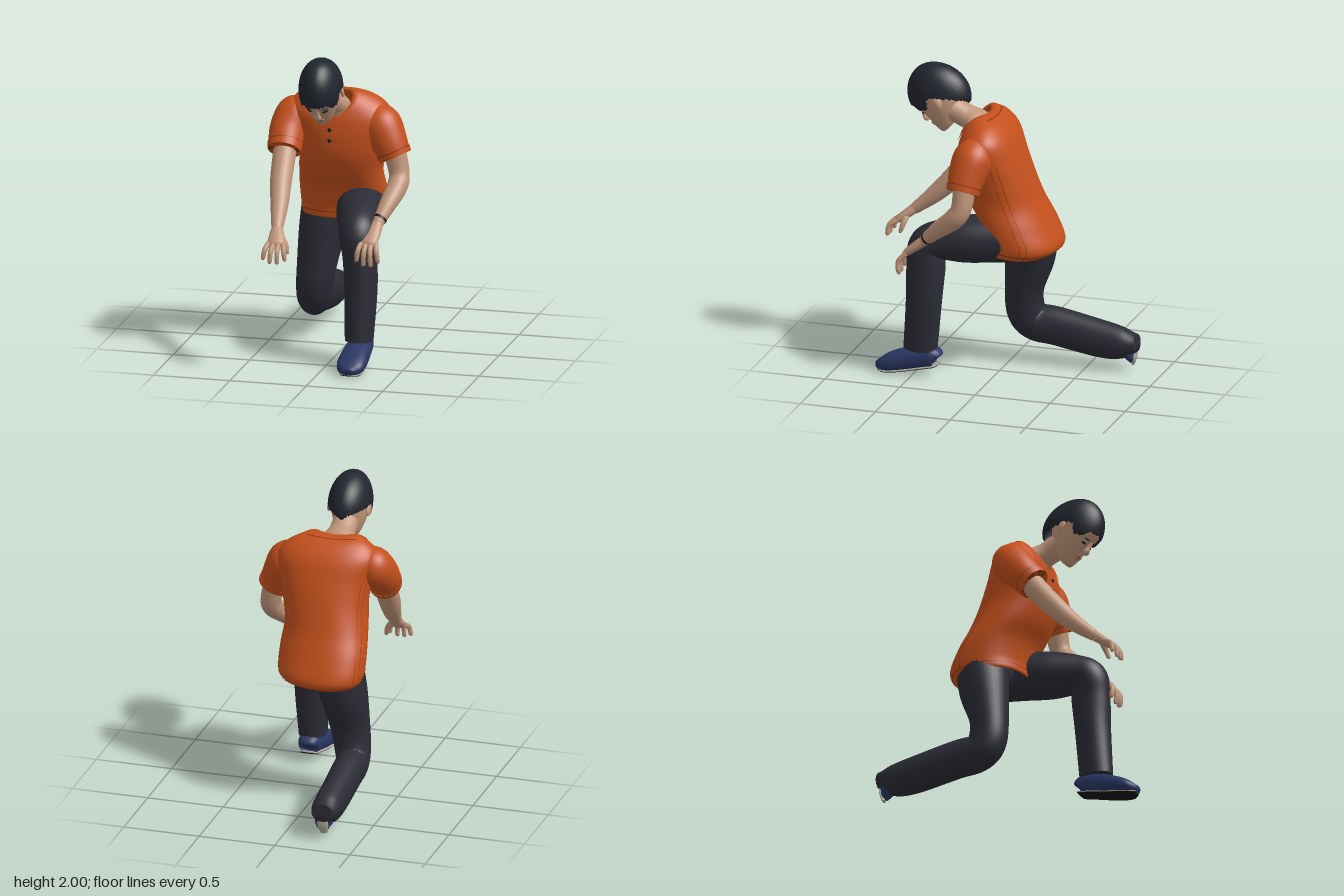
import * as THREE from 'three';
import { mergeVertices, toCreasedNormals } from 'three/addons/utils/BufferGeometryUtils.js';

const mat = (name, color, side = THREE.FrontSide) => {
  const m = new THREE.MeshStandardMaterial({ color, side });
  m.name = name;
  return m;
};
const M = {
  shirt: mat('orange shirt', 0xc4501c, THREE.DoubleSide),
  seam: mat('dark orange seam', 0x8a3812, THREE.DoubleSide),
  trousers: mat('charcoal trousers', 0x2b2c35, THREE.DoubleSide),
  hair: mat('blue black hair', 0x22252f, THREE.DoubleSide),
  skin: mat('skin', 0xc0967a),
  lips: mat('lips', 0x98664f),
  shoe: mat('navy shoe', 0x2a3764),
  trim: mat('pale trim', 0xaaa69c),
  black: mat('black', 0x17171b),
};

// Smooth interpolation along a list of number rows, t from 0 to 1
function along(rows, t) {
  const n = rows.length - 1, s = Math.min(Math.max(t, 0), 1) * n;
  const i = Math.min(Math.floor(s), n - 1), f = s - i;
  const at = (k) => rows[Math.min(Math.max(k, 0), n)];
  return rows[i].map((_, k) => {
    const [a, b, c, d] = [at(i - 1)[k], at(i)[k], at(i + 1)[k], at(i + 2)[k]];
    return b + 0.5 * f * (c - a + f * (2 * a - 5 * b + 4 * c - d + f * (3 * (b - c) + d - a)));
  });
}

// Grid surface from fn(u, v, row)
function surface(fn, nu, nv) {
  const pos = [], idx = [];
  for (let j = 0; j <= nv; j++)
    for (let i = 0; i <= nu; i++) pos.push(...fn(i / nu, j / nv, j));
  for (let j = 0; j < nv; j++)
    for (let i = 0; i < nu; i++) {
      const a = j * (nu + 1) + i, b = a + nu + 1;
      idx.push(a, a + 1, b + 1, a, b + 1, b);
    }
  const g = new THREE.BufferGeometry();
  g.setAttribute('position', new THREE.Float32BufferAttribute(pos, 3));
  g.setIndex(idx);
  return toCreasedNormals(mergeVertices(g, 1e-5), 1.1);
}

function add(parent, name, geometry, material, p = [0, 0, 0], s = [1, 1, 1], r = [0, 0, 0]) {
  const m = new THREE.Mesh(geometry, material);
  m.name = name;
  m.position.set(...p); m.scale.set(...s); m.rotation.set(...r);
  parent.add(m);
}
const ball = new THREE.SphereGeometry(1, 24, 16);

// Capped tube through rows of [x, y, z, sideRadius, otherRadius]
function limb(rows, nu = 24, nv = 32, p = 1, t0 = 0, grow = 0) {
  const pts = rows.map((r) => [r[0], r[1], r[2], r[3], r[4] ?? r[3]]);
  const V = (a) => new THREE.Vector3(a[0], a[1], a[2]);
  const pw = (x) => Math.sign(x) * Math.abs(x) ** p;
  return surface((u, v, j) => {
    const t = t0 + (1 - t0) * Math.min(Math.max((j - 1) / (nv - 2), 0), 1);
    const c = along(pts, t), a = u === 1 ? 0 : u * Math.PI * 2;
    const T = V(along(pts, t + 0.01)).sub(V(along(pts, t - 0.01))).normalize();
    const S = new THREE.Vector3(1, 0, 0).addScaledVector(T, -T.x).normalize();
    const N = T.clone().cross(S), k = j === 0 || j === nv ? 0 : 1;
    return V(c).addScaledVector(S, pw(Math.cos(a)) * (c[3] + grow) * k)
      .addScaledVector(N, pw(Math.sin(a)) * (c[4] + grow) * k).toArray();
  }, nu, nv);
}

// Body surface from rows of [x, halfWidth, frontY, frontZ, backY, backZ, sideLift, twist]; e offsets outwards
const body = (rows, p = 1, e = 0) => (u, v) => {
  const [x, w, yf, zf, yb, zb, lift, twist] = along(rows, v);
  const a = u === 1 ? 0 : u * Math.PI * 2, pw = (q) => Math.sign(q) * Math.abs(q) ** p;
  const c = pw(Math.cos(a)), s = pw(Math.sin(a));
  return [x + s * (w + e), (yf + yb) / 2 + c * (yf - yb) / 2 + lift * s * s,
    (zf + zb) / 2 + c * ((zf - zb) / 2 + e) + twist * s];
};
const patch = (fn, u0, u1, v0, v1, nu = 6, nv = 20) =>
  surface((u, v) => fn(u0 + (u1 - u0) * u, v0 + (v1 - v0) * v), nu, nv);

// Shirt rows run from hem to neck opening
const TORSO = [
  [-.04, .22, .88, .04, .83, -.28, 0, .02], [-.045, .265, .85, .085, .80, -.32, 0, .03],
  [-.045, .285, .93, .085, .86, -.385, 0, .03], [-.045, .285, 1.06, .12, 1.0, -.33, 0, .03],
  [-.04, .27, 1.18, .2, 1.15, -.26, 0, .02], [-.02, .275, 1.3, .25, 1.3, -.21, 0, .01],
  [-.01, .3, 1.42, .26, 1.46, -.155, 0, 0], [-.02, .325, 1.5, .255, 1.59, -.1, .02, -.01],
  [-.035, .275, 1.545, .25, 1.68, -.02, .025, -.01], [-.055, .165, 1.56, .245, 1.71, .07, .05, 0],
  [-.055, .135, 1.55, .235, 1.70, .09, .045, 0],
];

function buildShirt(g) {
  add(g, 'shirtBody', surface(body(TORSO, .88), 56, 60), M.shirt);
  // folded collar, longest at its two front points
  const flap = body(TORSO, .88, .009);
  for (const [u0, u1] of [[.03, .5], [.5, .97]])
    add(g, 'collar', surface((u, v) => {
      const q = u0 + (u1 - u0) * u, d = Math.min(q, 1 - q);
      const low = .875 - .11 * Math.max(0, 1 - Math.abs(d - .06) / .08);
      return flap(q, low + (1 - low) * v);
    }, 28, 8), M.shirt);
  // placket, buttons and seams
  add(g, 'placket', patch(body(TORSO, .88, .004), -.004, .004, .58, .82), M.shirt);
  for (const y of [1.48, 1.41])
    add(g, 'button', ball, M.black, [-.04, y, .267], [.013, .013, .005]);
  for (const u of [.3, .33, .67, .7])
    add(g, 'sideSeam', patch(body(TORSO, .88, .003), u, u + .003, .12, .6, 1), M.seam);
  add(g, 'hemSeam', patch(body(TORSO, .88, .003), 0, 1, .155, .163, 56, 1), M.seam);
  add(g, 'yokeSeam', patch(body(TORSO, .88, .003), .38, .62, .845, .853, 20, 1), M.seam);
  // sleeves with turned cuffs
  const sleeves = {
    right: [[-.25, 1.57, .05, .075], [-.295, 1.53, .09, .125], [-.335, 1.44, .17, .118], [-.335, 1.33, .272, .1]],
    left: [[.19, 1.57, .06, .085], [.25, 1.5, .09, .127], [.305, 1.4, .115, .12], [.358, 1.295, .13, .1]],
  };
  for (const [side, rows] of Object.entries(sleeves)) {
    add(g, side + 'Sleeve', limb(rows, 32, 30), M.shirt);
    add(g, side + 'Cuff', limb(rows, 32, 8, 1, .88, .006), M.shirt);
    add(g, side + 'CuffSeam', limb(rows, 32, 30, 1, .865, .003), M.seam);
  }
}

// Hand: palm from wrist to knuckles, four bent fingers and an inner thumb
function buildHand(g, name, w, k, mid, tip, inner) {
  const h = new THREE.Group();
  h.name = name;
  g.add(h);
  const mix = (t) => w.map((q, i) => q + (k[i] - q) * t);
  add(h, 'palm', limb([[...w, .036, .033], [...mix(.5), .05, .03], [...k, .056, .024], [...mix(1.15), .048, .014]], 18, 18), M.skin);
  for (let i = 0; i < 4; i++) {
    const s = (i - 1.5) * .031, f = i === 0 || i === 3 ? .82 : 1;
    const pt = (d, spread, r) => [k[0] + s * spread, k[1] + d[0] * f, k[2] + d[1] * f, r];
    add(h, 'finger', limb([pt([0, 0], 1, .017), pt(mid, 1.3, .0165), pt(tip, 1.5, .014), pt([tip[0] - .008, tip[1]], 1.5, .007)], 10, 14), M.skin);
  }
  const b = mix(.45);
  add(h, 'thumb', limb([[b[0] + inner * .02, b[1], b[2], .022], [b[0] + inner * .06, b[1] - .05, b[2] + .01, .018],
    [b[0] + inner * .075, b[1] - .1, b[2] + .025, .013], [b[0] + inner * .076, b[1] - .108, b[2] + .028, .006]], 10, 14), M.skin);
}

function buildArms(g) {
  add(g, 'rightArm', limb([[-.335, 1.4, .2, .075], [-.325, 1.18, .38, .07], [-.302, 1.04, .515, .057], [-.28, .92, .66, .036]]), M.skin);
  buildHand(g, 'rightHand', [-.28, .925, .655], [-.262, .85, .755], [-.035, .055], [-.1, .068], 1);
  add(g, 'leftArm', limb([[.34, 1.36, .12, .075], [.38, 1.2, .13, .066], [.382, 1.12, .18, .066], [.35, 1.03, .29, .055], [.312, .93, .4, .036]]), M.skin);
  buildHand(g, 'leftHand', [.312, .93, .4], [.283, .835, .52], [-.06, .05], [-.135, .05], -1);
  add(g, 'wristBand', limb([[.324, .957, .371, .043], [.319, .947, .382, .042]], 20, 6), M.black);
}

function buildLegs(g) {
  add(g, 'hips', ball, M.trousers, [-.04, .88, -.17], [.24, .13, .17]);
  add(g, 'leftTrouserLeg', limb([[.06, .92, -.2, .15], [.1, .92, 0, .155], [.14, .91, .18, .152], [.17, .895, .34, .128],
    [.185, .85, .42, .122], [.2, .72, .425, .11, .126], [.21, .5, .435, .105, .116], [.205, .17, .46, .09, .11]], 32, 56), M.trousers);
  add(g, 'rightTrouserLeg', limb([[-.16, .9, -.17, .165], [-.19, .72, -.14, .15, .16], [-.215, .5, -.095, .128, .125],
    [-.235, .34, -.1, .115, .125], [-.25, .265, -.16, .105, .125], [-.257, .245, -.3, .1, .127],
    [-.26, .19, -.6, .096, .122], [-.26, .18, -.74, .092, .1], [-.26, .19, -.83, .07, .055]], 32, 60), M.trousers);
  // planted shoe: navy upper over a thin dark sole with a pale edge
  const shoe = [[.205, .115, .35, .045, .04], [.205, .125, .37, .07, .062], [.205, .115, .46, .08, .07], [.205, .09, .56, .09, .066],
    [.205, .064, .65, .093, .055], [.205, .043, .71, .078, .039], [.205, .034, .748, .034, .022]];
  add(g, 'leftShoe', limb(shoe, 28, 32, .8), M.shoe);
  const under = (drop, width, h) => shoe.map(([x, y, z, w, d]) => [x, y - d + drop, z - .006, w * width, h]);
  add(g, 'leftShoeEdge', limb(under(.006, .84, .006), 28, 24, .6), M.trim);
  add(g, 'leftShoeSole', limb(under(.002, .8, .006), 28, 24, .6), M.black);
  // trailing shoe, toe tucked to the ground
  add(g, 'rightShoe', limb([[-.26, .18, -.72, .06], [-.26, .14, -.765, .066, .055], [-.26, .095, -.79, .052, .033], [-.265, .065, -.798, .03, .015]], 24, 20), M.shoe);
  add(g, 'rightShoeSole', limb([[-.262, .13, -.818, .035, .01], [-.263, .09, -.816, .036, .011], [-.267, .045, -.803, .022, .009]], 20, 12), M.trim);
}

function buildHead(g) {
  add(g, 'neck', limb([[-.055, 1.55, .12, .14, .08], [-.055, 1.625, .16, .125, .078], [-.055, 1.665, .24, .085, .075], [-.055, 1.72, .36, .085, .085]]), M.skin);
  const h = new THREE.Group();
  h.name = 'head';
  h.position.set(-.055, 1.80, .42);
  h.rotation.x = .733;
  g.add(h);
  const face = [[-.215, 0, .12, .12], [-.208, .04, .06, .148], [-.165, .075, -.03, .16], [-.1, .105, -.1, .162], [-.03, .12, -.15, .168],
    [.05, .126, -.16, .177], [.11, .108, -.14, .155], [.16, .07, -.09, .1], [.18, 0, -.02, -.02]]
    .map(([y, w, b, f]) => [0, w, y, f, y, b, 0, 0]);
  add(h, 'skull', surface(body(face), 40, 40), M.skin);
  // short hair with temple points and a low pointed nape
  const line = [[0, .06], [36, .045], [46, -.01], [64, -.03], [74, .02], [85, .015], [100, -.03], [130, -.11], [165, -.155], [180, -.17]];
  const low = (deg) => {
    const i = Math.max(1, line.findIndex((q) => q[0] >= deg)), [a, b] = [line[i - 1], line[i]];
    return b[1] + (a[1] - b[1]) * (b[0] - deg) / (b[0] - a[0]);
  };
  add(h, 'hair', surface((u, v, j) => {
    const a = u === 1 ? 0 : u * Math.PI * 2, deg = Math.min(u, 1 - u) * 360;
    const start = Math.asin((low(deg) + .007 * Math.sin(deg * .7)) / .212);
    const b = start + (Math.PI / 2 - start) * Math.max(0, (j - 1) / 23), k = j === 0 ? .86 : 1;
    const depth = Math.cos(a) > 0 ? .205 : .195 * (1 - .1 * b);
    return [.137 * k * Math.cos(b) * Math.sin(a), .212 * Math.sin(b), depth * k * Math.cos(b) * Math.cos(a)];
  }, 72, 24), M.hair);
  // face details
  add(h, 'nose', limb([[0, .0, .16, .012], [0, -.04, .172, .015], [0, -.075, .18, .024, .02], [0, -.09, .17, .016, .01]], 14, 16), M.skin);
  add(h, 'upperLip', ball, M.lips, [0, -.123, .16], [.034, .008, .01]);
  add(h, 'lowerLip', ball, M.lips, [0, -.138, .158], [.028, .008, .01]);
  for (const s of [-1, 1]) {
    add(h, 'ear', ball, M.skin, [s * .13, -.04, -.005], [.013, .042, .026], [-.2, s * .35, 0]);
    add(h, 'eye', ball, M.black, [s * .05, -.036, .155], [.021, .007, .005], [0, s * .35, 0]);
    add(h, 'brow', ball, M.hair, [s * .052, -.005, .159], [.027, .005, .005], [0, s * .35, -s * .1]);
  }
}

export function createModel() {
  const g = new THREE.Group();
  g.name = 'kneelingMan';
  buildShirt(g);
  buildArms(g);
  buildLegs(g);
  buildHead(g);
  return g;
}
